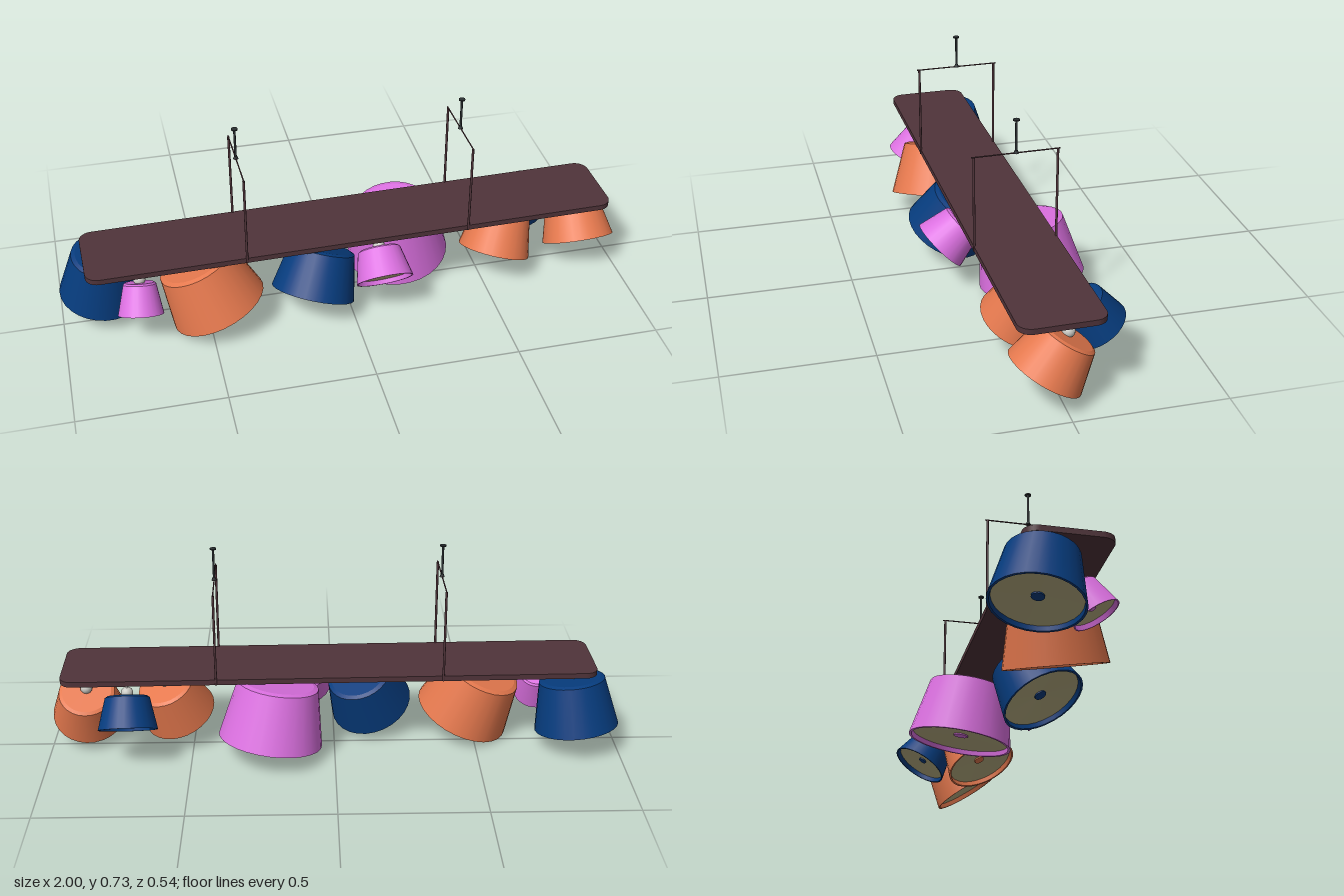
import * as THREE from 'three';

const mat = (name, color, side = THREE.FrontSide) => {
  const m = new THREE.MeshStandardMaterial({ color, side });
  m.name = name;
  return m;
};

export function createModel() {
  const root = new THREE.Group();
  root.name = 'chandelier';
  const D = THREE.DoubleSide;
  const wood = mat('dark wood', 0x50343a);
  const iron = mat('dark iron', 0x2a2f31);
  const grey = mat('pale grey', 0xcacac4);
  const lining = mat('cream lining', 0xbab083, D);
  const blue = mat('blue', 0x063c7e, D);
  const orange = mat('orange', 0xe6794e, D);
  const pink = mat('pink', 0xdb70e0, D);

  const add = (parent, name, geo, material, x = 0, y = 0, z = 0) => {
    const m = new THREE.Mesh(geo, material);
    m.name = name;
    m.position.set(x, y, z);
    parent.add(m);
    return m;
  };
  const rod = (r, h, n = 10) => new THREE.CylinderGeometry(r, r, h, n);

  // Board and hangers share a slight turn about the vertical axis
  const frame = new THREE.Group();
  frame.name = 'frame';
  frame.position.set(0.017, 0, 0.025);
  frame.rotation.y = 0.016;
  root.add(frame);

  // Round-cornered board
  const L = 0.928, W = 0.14, R = 0.045;
  const s = new THREE.Shape();
  s.absarc(L - R, W - R, R, 0, Math.PI / 2);
  s.absarc(-L + R, W - R, R, Math.PI / 2, Math.PI);
  s.absarc(-L + R, -W + R, R, Math.PI, Math.PI * 1.5);
  s.absarc(L - R, -W + R, R, Math.PI * 1.5, Math.PI * 2);
  const boardGeo = new THREE.ExtrudeGeometry(s, { depth: 0.019, bevelEnabled: false, curveSegments: 6 });
  boardGeo.rotateX(-Math.PI / 2);
  add(frame, 'board', boardGeo, wood, 0, 0.285, 0);

  // Two hangers: side rods, crossbar, centre stem and ceiling disc
  for (const x of [-0.388, 0.392]) {
    const h = new THREE.Group();
    h.name = 'hanger';
    h.position.x = x;
    frame.add(h);
    for (const z of [-0.138, 0.138]) add(h, 'sideRod', rod(0.0042, 0.33), wood, 0, 0.45, z);
    add(h, 'crossbar', rod(0.0022, 0.292), wood, 0, 0.616, 0).rotation.x = Math.PI / 2;
    add(h, 'stem', rod(0.004, 0.113), iron, 0, 0.673, 0);
    add(h, 'stemFoot', new THREE.CylinderGeometry(0.005, 0.009, 0.01, 10), iron, 0, 0.62, 0);
    add(h, 'ceilingDisc', rod(0.011, 0.004, 14), iron, 0, 0.729, 0);
  }

  // Lampshade: tapered drum from top centre to bottom centre
  const lamp = (color, top, bottom, rTop, rBot) => {
    const T = new THREE.Vector3(...top), B = new THREE.Vector3(...bottom);
    const up = T.clone().sub(B), h = up.length(), N = 28;
    const g = new THREE.Group();
    g.name = 'lamp';
    root.add(g);

    const shade = new THREE.Group();
    shade.name = 'shade';
    shade.position.copy(B);
    shade.quaternion.setFromUnitVectors(new THREE.Vector3(0, 1, 0), up.normalize());
    g.add(shade);

    const e = 0.006;
    add(shade, 'shadeWall', new THREE.CylinderGeometry(rTop, rBot, h - e, N, 1, true), color, 0, (h - e) / 2, 0);
    add(shade, 'shadeShoulder', new THREE.CylinderGeometry(rTop * 0.88, rTop, e, N, 1, true), color, 0, h - e / 2, 0);
    add(shade, 'shadeLid', new THREE.CircleGeometry(rTop * 0.88, N).rotateX(-Math.PI / 2), color, 0, h, 0);

    // Rim and lip around a shallow cream diffuser with a centre hub
    const lip = 0.016, rIn = rBot * 0.95, rLip = rIn - (rBot - rTop) * lip / h, dish = 0.012;
    add(shade, 'shadeRim', new THREE.RingGeometry(rIn, rBot, N).rotateX(Math.PI / 2), color);
    add(shade, 'shadeLip', new THREE.CylinderGeometry(rLip, rIn, lip, N, 1, true), color, 0, lip / 2, 0);
    add(shade, 'diffuser', new THREE.CylinderGeometry(0.004, rLip, dish, N, 1, true), lining, 0, lip + dish / 2, 0);
    add(shade, 'hub', rod(rBot * 0.14, 0.008, 16), color, 0, lip + dish - 0.002, 0);

    // Ball joint and drop stem up to the board
    const by = T.y + 0.013;
    add(g, 'ballJoint', new THREE.SphereGeometry(0.021, 16, 12), grey, T.x, by, T.z);
    const len = 0.288 - by;
    add(g, 'dropStem', rod(0.0045, len), grey, T.x, by + len / 2, T.z);
  };

  lamp(blue, [-0.832, 0.255, -0.03], [-0.855, 0.08, -0.055], 0.115, 0.147);
  lamp(pink, [-0.73, 0.212, 0.1], [-0.738, 0.117, 0.153], 0.056, 0.078);
  lamp(orange, [-0.535, 0.243, 0.064], [-0.465, 0.064, 0.093], 0.134, 0.17);
  lamp(blue, [-0.088, 0.231, 0.07], [-0.137, 0.087, 0.13], 0.115, 0.147);
  lamp(pink, [0.1, 0.229, 0.12], [0.103, 0.152, 0.203], 0.075, 0.1);
  lamp(pink, [0.195, 0.262, -0.06], [0.225, 0.058, -0.09], 0.142, 0.182);
  lamp(orange, [0.594, 0.232, 0.0], [0.55, 0.098, 0.05], 0.1, 0.129);
  lamp(blue, [0.714, 0.238, -0.103], [0.711, 0.138, -0.163], 0.077, 0.103);
  lamp(orange, [0.866, 0.218, -0.022], [0.872, 0.1, 0.052], 0.097, 0.129);

  return root;
}
